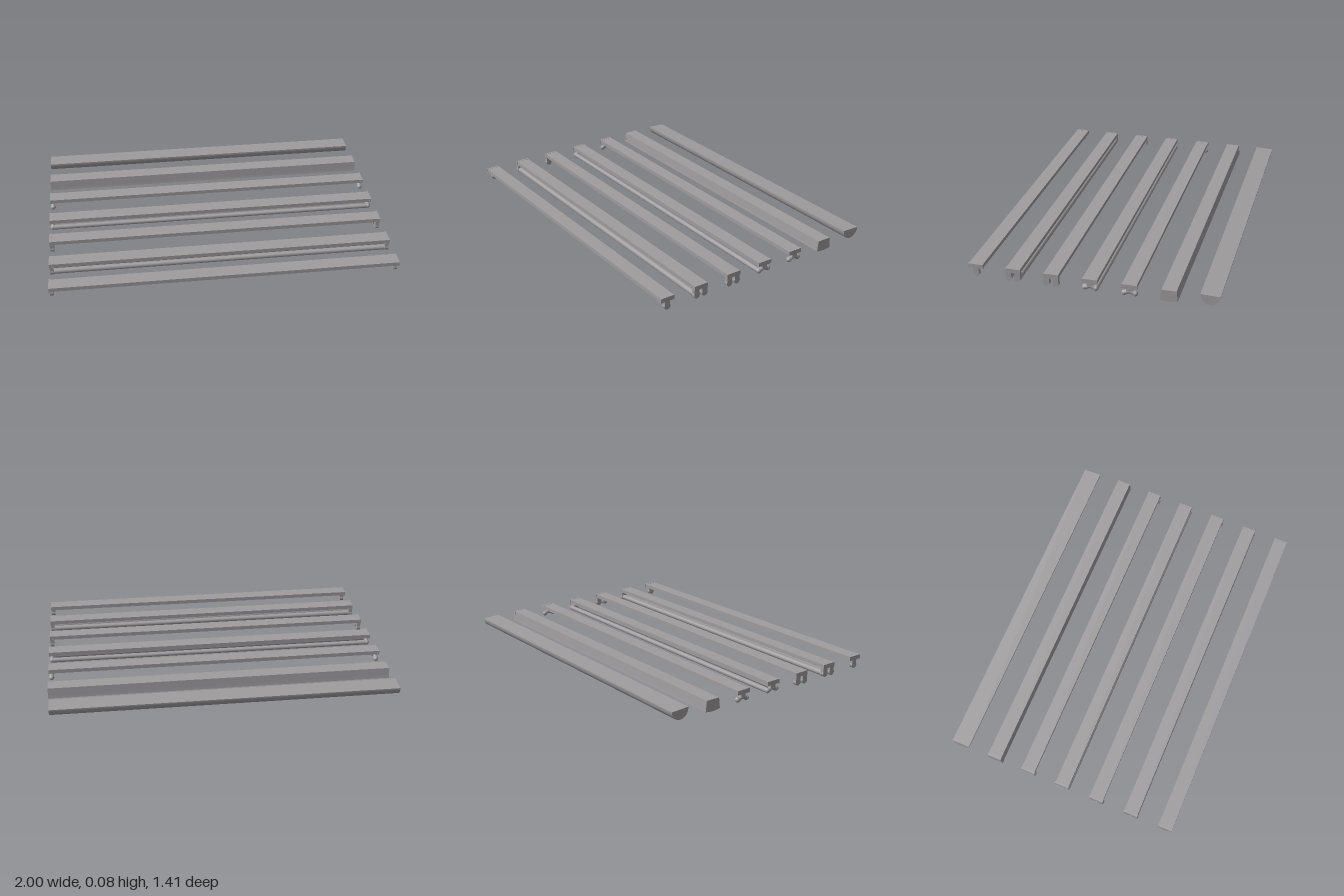
import * as THREE from 'three';

const grey = new THREE.MeshStandardMaterial({ color: 0x9f9c9e });
grey.name = 'painted grey';

function add(group, name, geometry, x, y, z) {
  const mesh = new THREE.Mesh(geometry, grey);
  mesh.name = name;
  mesh.position.set(x, y, z);
  group.add(mesh);
  return mesh;
}

// Extrude a (z, y) outline along x, centred on x
function profileBar(shape, length, x, group, name) {
  const g = new THREE.ExtrudeGeometry(shape, { depth: length, bevelEnabled: false, curveSegments: 20 });
  g.translate(0, 0, -length / 2);
  g.rotateY(-Math.PI / 2); // outline x becomes z
  return add(group, name, g, x, 0, 0);
}

// Flat mounting channel with slightly larger end plates
function base(group) {
  add(group, 'mountingChannel', new THREE.BoxGeometry(1.98, 0.023, 0.082), 0, 0.0665, 0);
  for (const s of [-1, 1])
    add(group, 'endPlate', new THREE.BoxGeometry(0.012, 0.025, 0.087), s * 0.994, 0.0665, 0);
}

// Straight lamp holder: neck with a round socket
function holder(group, z) {
  for (const s of [-1, 1]) {
    const shape = new THREE.Shape();
    shape.moveTo(-0.016, 0.056);
    shape.lineTo(-0.016, 0.03);
    shape.absarc(0, 0.0205, 0.0185, Math.PI * 0.83, Math.PI * 2.17, false);
    shape.lineTo(0.016, 0.056);
    profileBar(shape, 0.022, s * 0.986, group, 'lampHolder').position.z = z;
  }
}

function lamp(group, z, y, r) {
  const g = new THREE.CylinderGeometry(r, r, 1.96, 20);
  g.rotateZ(Math.PI / 2);
  add(group, 'lampTube', g, 0, y, z);
}

// Forked holder: short neck and a drooping rounded arm
function fork(group) {
  const curve = new THREE.CatmullRomCurve3([
    [0.03, 0.022], [0.016, 0.028], [0, 0.034], [-0.016, 0.028], [-0.03, 0.022],
  ].map(([z, y]) => new THREE.Vector3(0, y, z)));
  for (const s of [-1, 1]) {
    add(group, 'forkNeck', new THREE.BoxGeometry(0.022, 0.022, 0.032), s * 0.986, 0.046, 0);
    add(group, 'forkArm', new THREE.TubeGeometry(curve, 16, 0.013, 14), s * 0.985, 0, 0);
    for (const z of [-0.031, 0.031])
      add(group, 'forkSocket', new THREE.SphereGeometry(0.0155, 16, 12), s * 0.984, 0.022, z);
  }
}

// Enclosed diffuser with flared sides and a gently bowed underside
function diffuserShape(grow) {
  const s = new THREE.Shape();
  s.moveTo(-0.042 - grow, 0.078);
  s.lineTo(-0.047 - grow, 0.03);
  s.lineTo(-0.049 - grow, 0.016);
  s.quadraticCurveTo(0, 0.004 - grow, 0.049 + grow, 0.016);
  s.lineTo(0.047 + grow, 0.03);
  s.lineTo(0.042 + grow, 0.078);
  s.closePath();
  return s;
}

// Half-round trough
function troughShape() {
  const s = new THREE.Shape();
  s.moveTo(-0.054, 0.078);
  s.absarc(0, 0.073, 0.054, Math.PI, Math.PI * 2, false);
  s.lineTo(0.054, 0.078);
  s.closePath();
  return s;
}

export function createModel() {
  const model = new THREE.Group();
  model.name = 'batten lights';

  const fixture = (name, z, build) => {
    const g = new THREE.Group();
    g.name = name;
    g.position.z = z;
    build(g);
    model.add(g);
  };

  fixture('singleBatten', 0.663, (g) => {
    base(g);
    holder(g, 0);
  });
  fixture('twinBattenWithLamps', 0.446, (g) => {
    base(g);
    for (const z of [-0.026, 0.026]) {
      holder(g, z);
      lamp(g, z, 0.0205, 0.0165);
    }
  });
  fixture('twinBatten', 0.227, (g) => {
    base(g);
    for (const z of [-0.026, 0.026]) holder(g, z);
  });
  fixture('forkedBattenWithLamps', 0.008, (g) => {
    base(g);
    fork(g);
    for (const z of [-0.031, 0.031]) lamp(g, z, 0.022, 0.0145);
  });
  fixture('forkedBatten', -0.212, (g) => {
    base(g);
    fork(g);
  });
  fixture('enclosedBatten', -0.43, (g) => {
    profileBar(diffuserShape(-0.001), 1.97, 0, g, 'diffuser');
    for (const s of [-1, 1]) profileBar(diffuserShape(0), 0.016, s * 0.992, g, 'endCap');
  });
  fixture('halfRoundBatten', -0.65, (g) => {
    profileBar(troughShape(), 1.99, -0.005, g, 'halfRoundBody');
  });

  return model;
}
